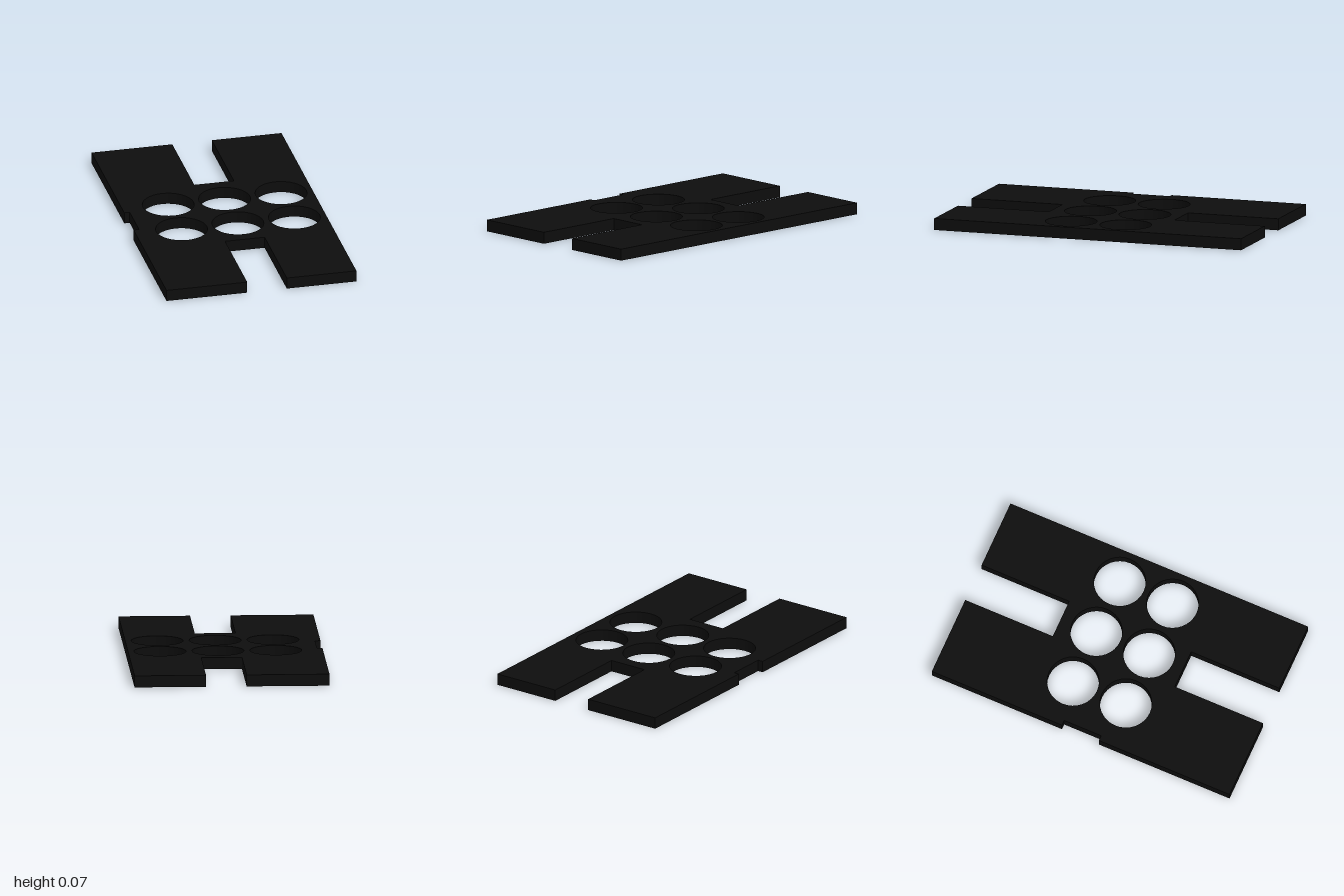
import * as THREE from 'three';

const HEIGHT = 0.072;

export function createModel() {
  const group = new THREE.Group();
  group.name = 'perforatedPlate';

  const black = new THREE.MeshStandardMaterial({ color: 0x0d0d0d });
  black.name = 'black';

  // Outline in plan as [x, z]: four legs, two end slots and a shallow side notch
  const outline = [
    [-0.6, 1], [-0.09, 1], [-0.09, 0.408], [0.16, 0.408], [0.16, 1], [0.6, 1],
    [0.6, -1], [0.16, -1], [0.16, -0.412], [-0.09, -0.412], [-0.09, -1], [-0.6, -1],
    [-0.6, -0.126], [-0.566, -0.126], [-0.566, 0.122], [-0.6, 0.122],
  ];
  const shape = new THREE.Shape(outline.map(([x, z]) => new THREE.Vector2(x, -z)));

  // Two rows of three round holes
  for (const x of [-0.31, 0.046, 0.403]) {
    for (const z of [-0.179, 0.176]) {
      const hole = new THREE.Path();
      hole.absarc(x, -z, 0.16, 0, Math.PI * 2, true);
      shape.holes.push(hole);
    }
  }

  // Lay the extrusion flat on the ground
  const geometry = new THREE.ExtrudeGeometry(shape, {
    depth: HEIGHT, bevelEnabled: false, curveSegments: 16,
  });
  geometry.rotateX(-Math.PI / 2);

  const plate = new THREE.Mesh(geometry, black);
  plate.name = 'plate';
  group.add(plate);
  return group;
}
